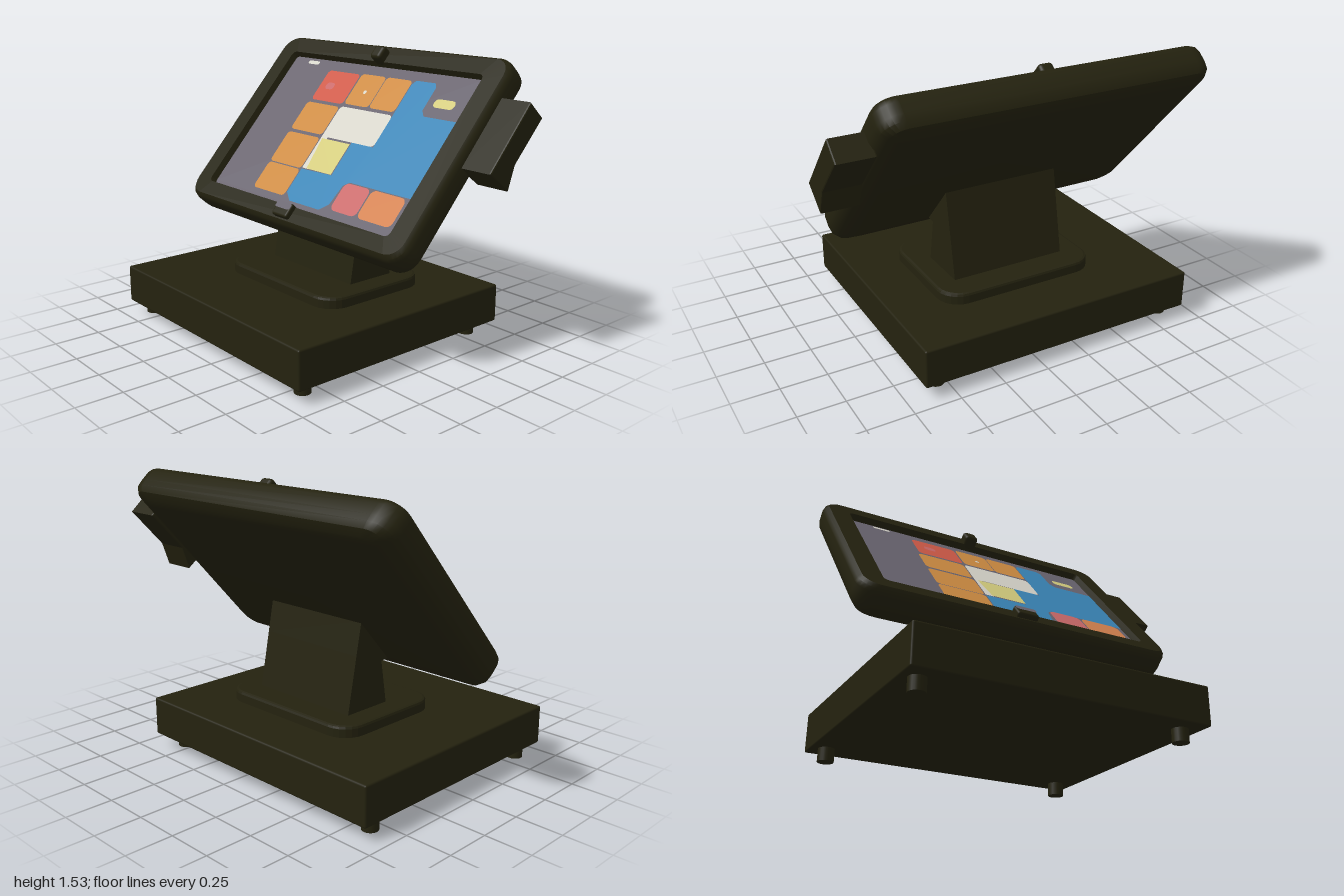
import * as THREE from 'three';
import { toCreasedNormals } from 'three/addons/utils/BufferGeometryUtils.js';
import { RoundedBoxGeometry } from 'three/addons/geometries/RoundedBoxGeometry.js';

const mat = (name, color) => {
  const m = new THREE.MeshStandardMaterial({ color });
  m.name = name;
  return m;
};

function add(parent, name, geometry, material, x = 0, y = 0, z = 0) {
  const mesh = new THREE.Mesh(geometry, material);
  mesh.name = name;
  mesh.position.set(x, y, z);
  parent.add(mesh);
  return mesh;
}

// Rounded rectangle outline, counter-clockwise
function rectPoints(x0, x1, y0, y1, r, steps = 6) {
  const pts = [];
  [[x1 - r, y1 - r], [x0 + r, y1 - r], [x0 + r, y0 + r], [x1 - r, y0 + r]].forEach(([cx, cy], q) => {
    for (let i = 0; i <= steps; i++) {
      const a = (q + i / steps) * Math.PI / 2;
      pts.push(new THREE.Vector2(cx + r * Math.cos(a), cy + r * Math.sin(a)));
    }
  });
  return pts;
}

const rectShape = (...args) => new THREE.Shape(rectPoints(...args));

// Side profile of [z, y] points, extruded from x0 to x1
function extrudeX(profile, x0, x1, bevel) {
  const shape = new THREE.Shape(profile.map(([z, y]) => new THREE.Vector2(-z, y)));
  const g = new THREE.ExtrudeGeometry(shape, {
    depth: x1 - x0 - 2 * bevel, bevelEnabled: bevel > 0, bevelSize: bevel,
    bevelThickness: bevel, bevelOffset: -bevel, bevelSegments: 2,
  });
  return g.rotateY(Math.PI / 2).translate(x0 + bevel, 0, 0);
}

// Skin over rounded rectangles given as [x0, x1, y0, y1, radius, z], closed at the back
function loft(rings) {
  const pos = [], index = [];
  let n = 0;
  for (const [x0, x1, y0, y1, r, z] of rings) {
    const pts = rectPoints(x0, x1, y0, y1, r);
    n = pts.length;
    pts.forEach(p => pos.push(p.x, p.y, z));
  }
  for (let i = 0; i < rings.length - 1; i++) {
    for (let j = 0; j < n; j++) {
      const k = (j + 1) % n, a = i * n, b = a + n;
      index.push(a + j, a + k, b + k, a + j, b + k, b + j);
    }
  }
  for (let j = 1; j < n - 1; j++) index.push(0, j + 1, j);
  const g = new THREE.BufferGeometry();
  g.setAttribute('position', new THREE.Float32BufferAttribute(pos, 3));
  g.setIndex(index);
  return toCreasedNormals(g, 0.6);
}

export function createModel() {
  const model = new THREE.Group();
  model.name = 'touchTerminal';
  const dark = mat('dark casing', 0x24220f);
  const grey = mat('screen grey', 0x6a6570);
  const blue = mat('blue', 0x3a86b8);
  const orange = mat('orange', 0xcf8c42);
  const red = mat('red', 0xd05a48);
  const white = mat('off white', 0xd8d6cb);
  const yellow = mat('yellow', 0xd5cd7e);
  const pink = mat('pink', 0xcb6a6a);
  const salmon = mat('salmon', 0xd5824f);

  // Base box with four feet
  add(model, 'base', new RoundedBoxGeometry(1.58, 0.21, 1.39, 2, 0.01), dark, -0.13, 0.175, 0.005);
  for (const x of [-0.84, 0.55])
    for (const z of [0.59, -0.57])
      add(model, 'foot', new THREE.CylinderGeometry(0.043, 0.043, 0.08, 20), dark, x, 0.04, z);

  // Stand plate and sloping neck
  const plate = new THREE.ExtrudeGeometry(rectShape(-0.505, 0.375, -0.275, 0.385, 0.11), {
    depth: 0.045, bevelSize: 0.015, bevelThickness: 0.015, bevelSegments: 2,
  }).rotateX(-Math.PI / 2);
  add(model, 'standPlate', plate, dark, 0, 0.28, 0);
  add(model, 'neck', extrudeX([[0.04, 0.33], [0, 0.575], [0.06, 0.58], [0.05, 0.62],
    [-0.1, 0.8], [-0.155, 0.82], [-0.19, 0.64], [-0.25, 0.33]], -0.39, 0.27, 0), dark);

  // Tilted tablet: local y runs up the screen, local z out of it
  const tablet = new THREE.Group();
  tablet.name = 'tablet';
  tablet.position.set(0, 1.027, -0.231);
  tablet.rotation.x = -0.733;
  model.add(tablet);

  const ring = (ix, iy, r, z) => [-1 + ix, 0.82 - ix, -0.607 + iy, 0.607 - iy, r, z];
  const opening = [-0.85, 0.67, -0.484, 0.472, 0.02];
  add(tablet, 'tabletCasing', loft([
    ring(0.1, 0.06, 0.06, -0.092), ring(0.04, 0.02, 0.08, -0.075), ring(0.01, 0.003, 0.1, -0.045),
    ring(0, 0, 0.11, -0.01), ring(0, 0, 0.11, 0.05), ring(0.008, 0.008, 0.1, 0.075),
    ring(0.025, 0.025, 0.09, 0.092),
    [-0.86, 0.68, -0.494, 0.482, 0.03, 0.092], [...opening, 0.055],
  ]), dark);
  add(tablet, 'screen', new THREE.ShapeGeometry(rectShape(...opening)), grey, 0, 0, 0.055);

  // Screen tiles: x range and upright height range, converted to the tilted screen
  const v = y => (y - 1.063) / 0.743;
  const tile = (name, m, x0, x1, y0, y1, r = 0.025, layer = 1) =>
    add(tablet, name, new THREE.ShapeGeometry(rectShape(x0, x1, v(y0), v(y1), r)), m, 0, 0, 0.055 + 0.003 * layer);
  const panel = (name, m, pts, layer = 1) =>
    add(tablet, name, new THREE.ShapeGeometry(new THREE.Shape(pts.map(([x, y]) => new THREE.Vector2(x, v(y))))),
      m, 0, 0, 0.055 + 0.003 * layer);

  panel('bluePanel', blue, [[0.21, 1.35], [0.23, 1.37], [0.37, 1.37], [0.39, 1.35], [0.39, 1.24], [0.42, 1.215],
    [0.665, 1.215], [0.665, 0.87], [0.2, 0.87], [0.165, 0.85], [0.15, 0.76], [0.1, 0.725],
    [-0.15, 0.725], [-0.21, 0.76], [-0.21, 0.875], [0.04, 0.88], [0.04, 1.04], [0.21, 1.04]]);
  tile('redTile', red, -0.485, -0.21, 1.205, 1.362);
  tile('orangeTopTile', orange, -0.2, 0, 1.21, 1.367);
  tile('orangeTopTile', orange, 0.005, 0.205, 1.21, 1.367);
  for (const [y0, y1] of [[1.045, 1.19], [0.875, 1.03], [0.738, 0.87]])
    tile('orangeSideTile', orange, -0.5, -0.217, y0, y1);
  tile('whiteTile', white, -0.21, 0.21, 1.04, 1.195);
  panel('whiteStrip', white, [[-0.21, 1.06], [-0.21, 0.88], [-0.16, 0.88], [-0.16, 1.06]]);
  panel('yellowTile', yellow, [[-0.195, 1.03], [-0.17, 0.88], [0.037, 0.88], [0.037, 1.03]], 2);
  tile('pinkTile', pink, 0.175, 0.373, 0.738, 0.865, 0.035, 2);
  tile('salmonTile', salmon, 0.382, 0.63, 0.738, 0.865, 0.035, 2);
  tile('yellowPill', yellow, 0.435, 0.58, 1.262, 1.302);
  tile('whiteMark', white, -0.71, -0.61, 1.382, 1.4, 0.01);
  tile('pinkMark', pink, -0.43, -0.36, 1.265, 1.3, 0.02, 2);
  tile('whiteDot', white, -0.102, -0.078, 1.27, 1.288, 0.01, 2);

  // Camera knob above the screen and latch below it
  add(tablet, 'cameraKnob', new RoundedBoxGeometry(0.08, 0.085, 0.09, 3, 0.02), dark, -0.09, 0.518, 0.102);
  add(tablet, 'latch', new RoundedBoxGeometry(0.125, 0.085, 0.07, 2, 0.012), dark, -0.09, -0.53, 0.087);
  add(tablet, 'latchFace', new THREE.ShapeGeometry(rectShape(-0.15, -0.03, -0.53, -0.49, 0.012)), grey, 0, 0, 0.124);

  // Card reader on the side
  add(tablet, 'cardReader', extrudeX([[0.045, 0.39], [0.042, -0.03], [-0.13, -0.015], [-0.08, 0.107],
    [-0.085, 0.39]], 0.8, 1, 0.008), dark);

  return model;
}
